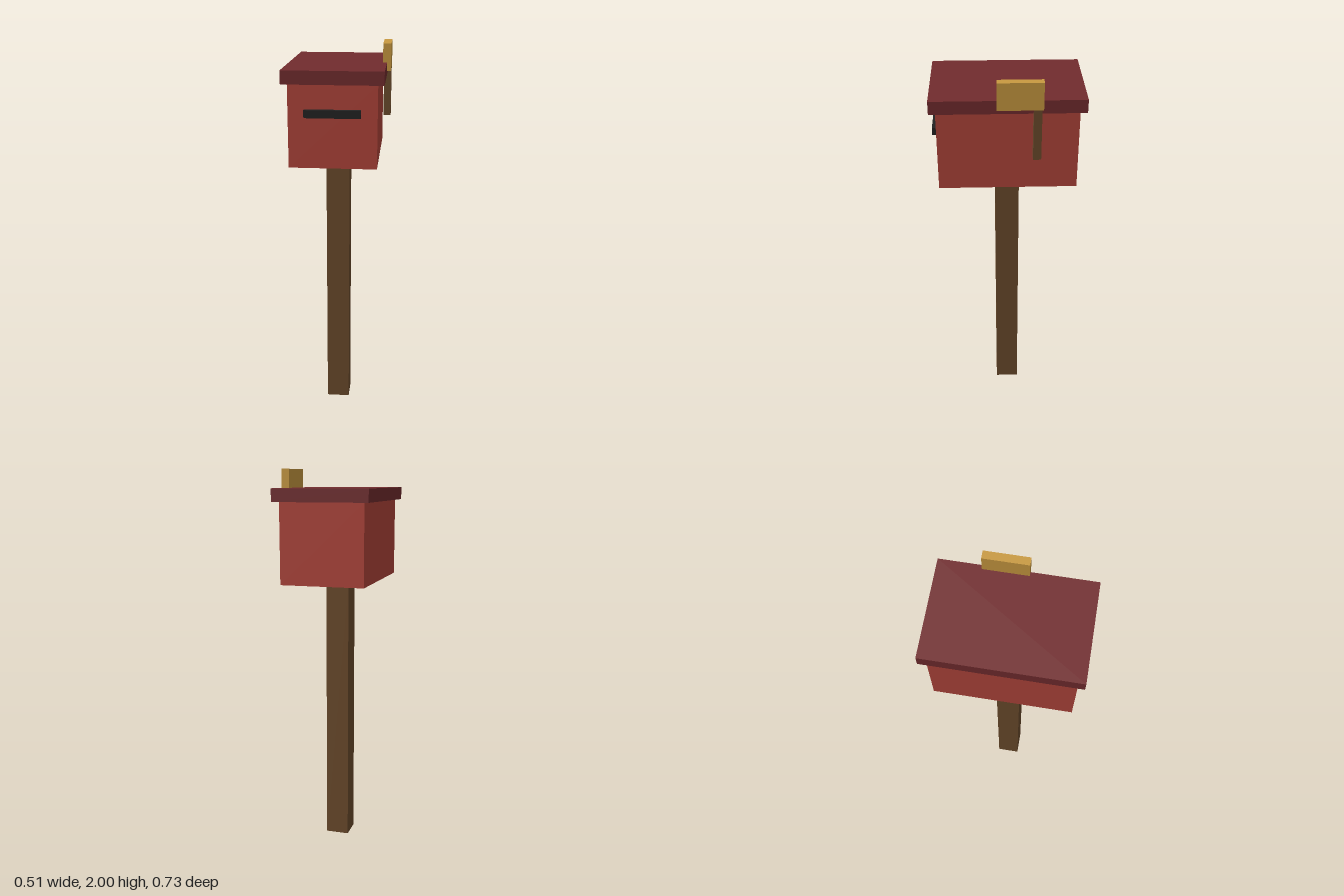
import * as THREE from 'three';

const paint = (name, color) => {
  const m = new THREE.MeshStandardMaterial({ color });
  m.name = name;
  return m;
};

export function createModel() {
  const red = paint('boxRed', 0xb0443a);
  const maroon = paint('roofMaroon', 0x722c2e);
  const wood = paint('woodBrown', 0x6b4b2c);
  const gold = paint('flagGold', 0xc99a40);
  const black = paint('slotBlack', 0x222222);

  const model = new THREE.Group();
  model.name = 'mailbox';

  // Box part given by its extents on each axis
  const block = (name, material, [x0, x1], [y0, y1], [z0, z1]) => {
    const mesh = new THREE.Mesh(new THREE.BoxGeometry(x1 - x0, y1 - y0, z1 - z0), material);
    mesh.position.set((x0 + x1) / 2, (y0 + y1) / 2, (z0 + z1) / 2);
    mesh.name = name;
    model.add(mesh);
  };

  // Post and body
  block('post', wood, [-0.072, 0.049], [0, 1.434], [-0.061, 0.061]);
  block('body', red, [-0.227, 0.203], [1.434, 1.841], [-0.337, 0.337]);
  block('roof', maroon, [-0.255, 0.233], [1.841, 1.906], [-0.367, 0.367]);

  // Letter slot on the front
  block('letterSlot', black, [-0.148, 0.124], [1.683, 1.721], [0.325, 0.361]);

  // Signal flag on the left side; its arm ends inside the flag
  block('flagArm', wood, [0.214, 0.252], [1.611, 1.9], [-0.156, -0.117]);
  block('flag', gold, [0.213, 0.253], [1.866, 2], [-0.163, 0.053]);

  return model;
}
